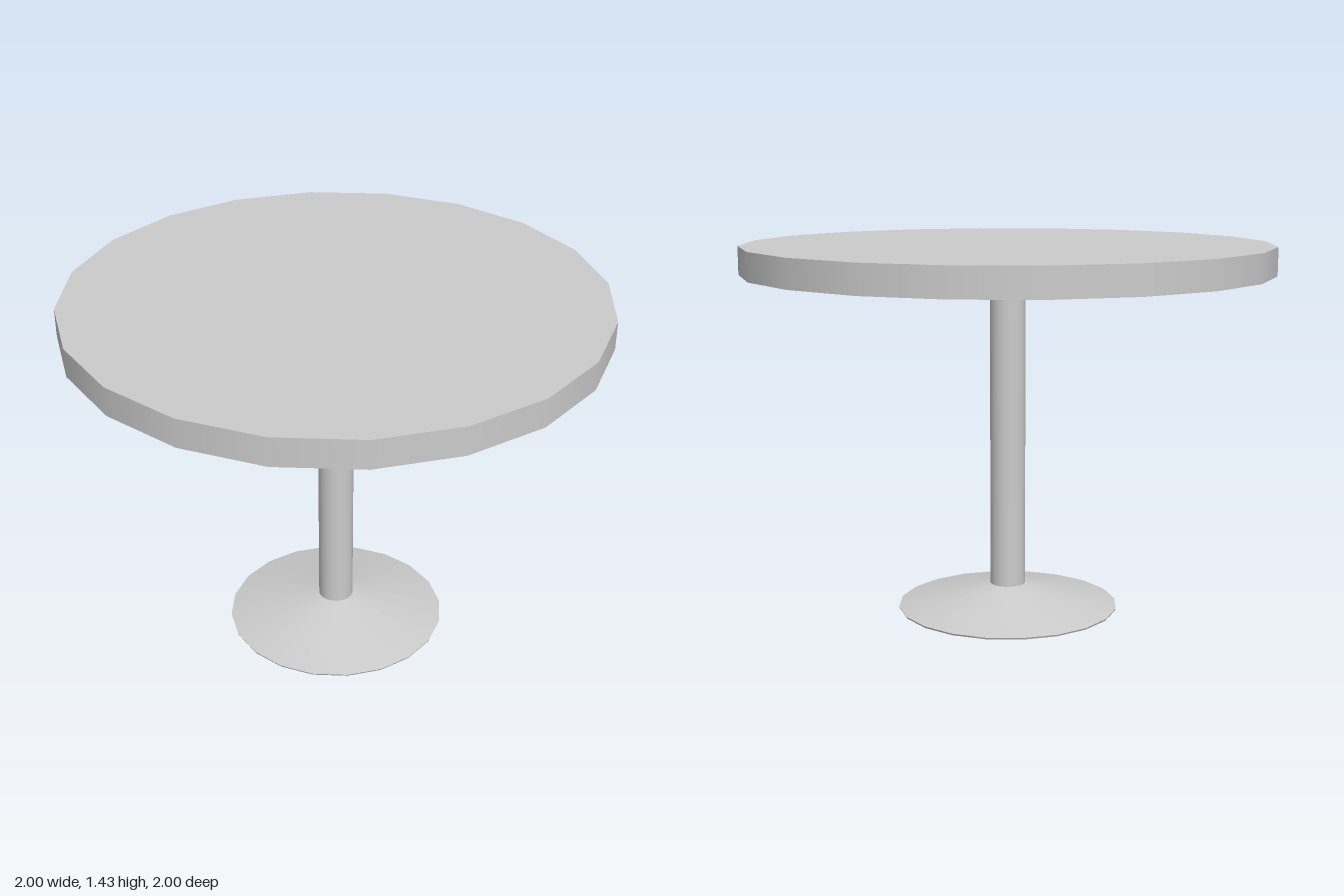
import * as THREE from 'three';

const SIDES = 20;

export function createModel() {
  const table = new THREE.Group();
  table.name = 'pedestalTable';
  const material = new THREE.MeshStandardMaterial({ color: 0xcccccc });

  // Adds a round section spanning two heights
  function addRound(name, bottomRadius, topRadius, y0, y1, open = false, parent = table) {
    const geometry = new THREE.CylinderGeometry(topRadius, bottomRadius, y1 - y0, SIDES, 1, open);
    geometry.translate(0, (y0 + y1) / 2, 0);
    const mesh = new THREE.Mesh(geometry, material);
    mesh.name = name;
    parent.add(mesh);
  }

  // Thick round top on a slim column
  addRound('tableTop', 1, 1, 1.327, 1.433);
  addRound('column', 0.068, 0.068, 0.11, 1.327);

  // Foot: sloping cover, thin rim and a shallow underside
  const base = new THREE.Group();
  base.name = 'base';
  table.add(base);
  addRound('baseCover', 0.427, 0.068, 0.028, 0.112, true, base);
  addRound('baseRim', 0.424, 0.427, 0.021, 0.028, true, base);
  addRound('baseUnderside', 0, 0.424, 0, 0.021, true, base);

  return table;
}
